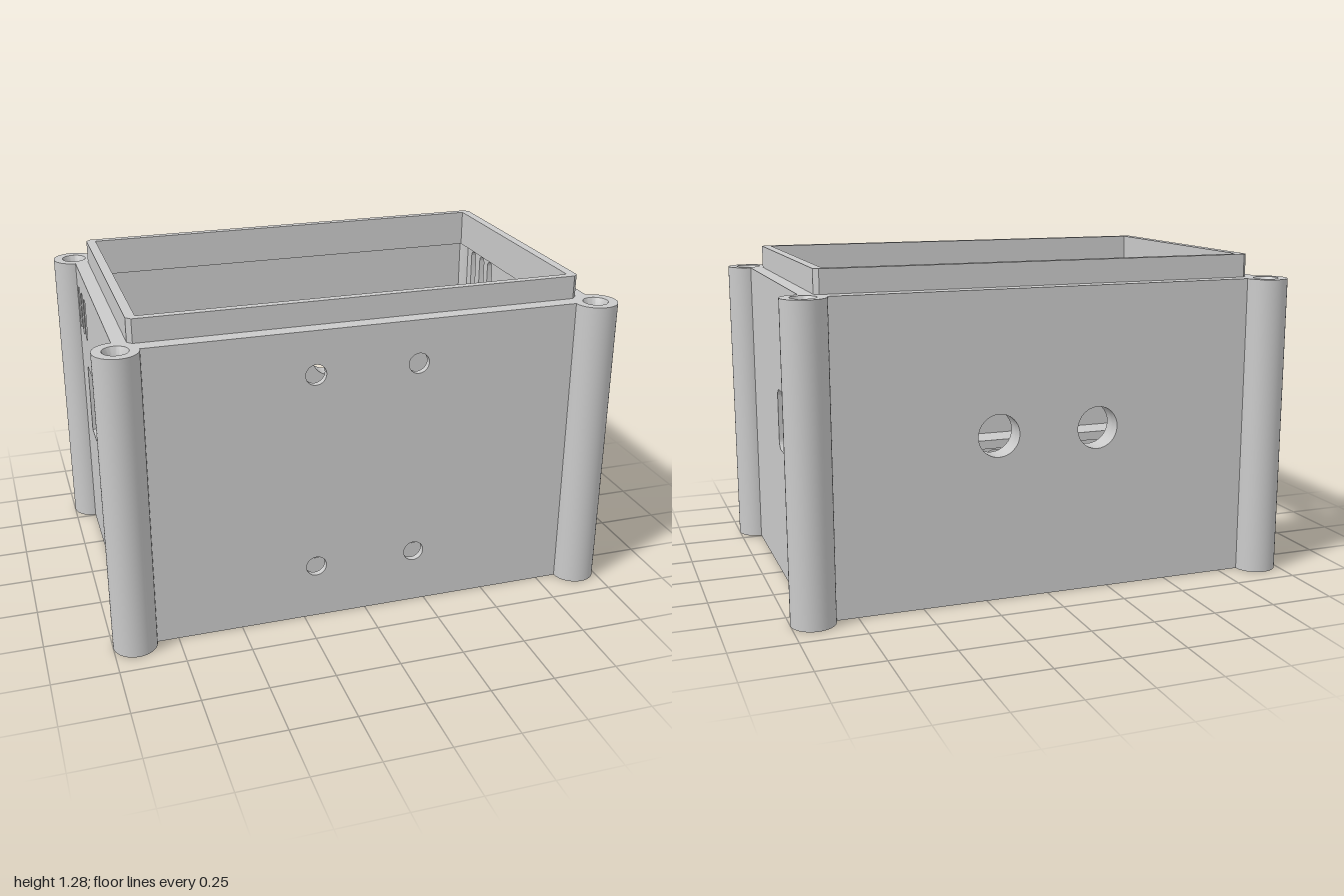
import * as THREE from 'three';
import { toCreasedNormals } from 'three/addons/utils/BufferGeometryUtils.js';

const grey = new THREE.MeshStandardMaterial({ color: 0xcacaca });
grey.name = 'plain grey';

const W = 0.919, D = 0.592, H = 1.186;     // outer half width, half depth, wall height
const IW = 0.873, ID = 0.545;              // cavity half sizes
const LW = 0.83, LD = 0.502;               // half sizes of the opening inside the lip

// Rounded rectangle written into a Shape or Path
function rect(p, x0, x1, y0, y1, r = 0) {
  if (r <= 0) {
    p.moveTo(x0, y0).lineTo(x1, y0).lineTo(x1, y1).lineTo(x0, y1).closePath();
    return p;
  }
  p.absarc(x1 - r, y0 + r, r, -Math.PI / 2, 0);
  p.absarc(x1 - r, y1 - r, r, 0, Math.PI / 2);
  p.absarc(x0 + r, y1 - r, r, Math.PI / 2, Math.PI);
  p.absarc(x0 + r, y0 + r, r, Math.PI, Math.PI * 1.5);
  p.closePath();
  return p;
}
const hole = (...a) => rect(new THREE.Path(), ...a);
const block = (w, d, r) => rect(new THREE.Shape(), -w, w, -d, d, r);
const circle = (x, y, r) => new THREE.Path().absarc(x, y, r, 0, Math.PI * 2);
const polygon = points => new THREE.Shape(points.map(p => new THREE.Vector2(...p)));

function slab(shape, holes, depth) {
  shape.holes.push(...holes);
  const g = new THREE.ExtrudeGeometry(shape, { depth, bevelEnabled: false, curveSegments: 16 });
  return toCreasedNormals(g, 0.6);
}

function add(parent, name, geometry, x = 0, y = 0, z = 0) {
  const m = new THREE.Mesh(geometry, grey);
  m.name = name;
  m.position.set(x, y, z);
  parent.add(m);
  return m;
}

// Upright wall layer; local z = 0 is its inner face, the depth goes outwards
function wall(parent, name, halfWidth, holes, thickness, z) {
  return add(parent, name, slab(rect(new THREE.Shape(), -halfWidth, halfWidth, 0, H), holes, thickness), 0, 0, z);
}

// Rectangle with cut corners
const chamfered = (w, d, c) => polygon([[-w + c, -d], [w - c, -d], [w, -d + c], [w, d - c],
  [w - c, d], [-w + c, d], [-w, d - c], [-w, -d + c]]);

// Lays a shape flat: its y becomes -z, the depth goes up
function flat(parent, name, shape, holes, y, depth) {
  const m = add(parent, name, slab(shape, holes, depth), 0, y, 0);
  m.rotation.x = -Math.PI / 2;
  return m;
}

export function createModel() {
  const model = new THREE.Group();
  model.name = 'enclosure';

  // Front wall in two layers: screw holes with wider recesses inside.
  // The walls end inside the corner posts, clear of the screw holes there.
  const screws = [[-0.2, 0.22], [0.2, 0.22], [-0.2, 1.015], [0.2, 1.015]];
  wall(model, 'frontWallInside', 0.86, screws.map(([x, y]) => circle(x, y, 0.068)), 0.022, ID);
  wall(model, 'frontWallOutside', 0.86, screws.map(([x, y]) => circle(x, y, 0.04)), D - ID - 0.022, ID + 0.022);

  // Back wall with two round openings and raised collars inside
  const eyes = [-0.2, 0.2];
  const back = new THREE.Group();
  back.name = 'back';
  back.rotation.y = Math.PI;
  wall(back, 'backWall', 0.86, eyes.map(x => circle(x, 0.64, 0.082)), D - ID, ID);
  for (const x of eyes) {
    const collar = new THREE.Shape().absarc(0, 0, 0.155, 0, Math.PI * 2);
    add(back, 'collar', slab(collar, [circle(0, 0, 0.082)], ID - LD), x, 0.64, LD);
  }
  model.add(back);

  // Side walls: local x is world -z on the left side and world z on the right side
  const slots = s => [-0.275, -0.36, -0.45].map(z => hole(s * z - 0.0225, s * z + 0.0225, 0.925, 1.1, 0.022));
  const left = wall(model, 'leftWall', 0.53, [...slots(-1), hole(0.035, 0.168, 0.525, 0.767, 0.035)], W - IW, 0);
  left.rotation.y = Math.PI / 2;
  left.position.x = IW;
  const right = wall(model, 'rightWall', 0.53, [...slots(1), hole(-0.33, -0.135, 0.5, 0.79)], W - IW, 0);
  right.rotation.y = -Math.PI / 2;
  right.position.x = -IW;

  // Lip around the top, with its thicker root inside the walls
  flat(model, 'lipRoot', block(IW + 0.002, ID + 0.002), [hole(-LW, LW, -LD, LD)], 1.13, H - 1.13);
  flat(model, 'topLip', chamfered(0.866, 0.533, 0.018), [hole(-LW, LW, -LD, LD)], H, 0.09);

  // Floor with a window that flares out towards the bottom
  flat(model, 'floorBottom', block(IW, ID), [hole(-0.515, 0.515, -0.405, 0.405, 0.1)], 0, 0.05);
  flat(model, 'floorTop', block(IW, ID), [hole(-0.466, 0.466, -0.356, 0.356, 0.075)], 0.05, 0.015);
  const low = hole(-0.515, 0.515, -0.405, 0.405, 0.1).getPoints(12);
  const high = hole(-0.466, 0.466, -0.356, 0.356, 0.075).getPoints(12);
  const pos = [], index = [];
  low.forEach((p, i) => {
    pos.push(p.x, 0, p.y, high[i].x, 0.05, high[i].y);
    const a = 2 * i, b = 2 * ((i + 1) % low.length);
    index.push(a, b, a + 1, b, b + 1, a + 1);
  });
  const bevel = new THREE.BufferGeometry();
  bevel.setAttribute('position', new THREE.Float32BufferAttribute(pos, 3));
  bevel.setIndex(index);
  add(model, 'windowBevel', toCreasedNormals(bevel, 0.6));

  // Low frame around the window, with four snap clips
  flat(model, 'windowFrame', block(0.668, 0.414, 0.02), [hole(-0.645, 0.645, -0.392, 0.392)], 0.06, 0.09);
  const clip = new THREE.ExtrudeGeometry(polygon([[0, 0], [0.012, 0.015], [0, 0.045]]),
    { depth: 0.176, bevelEnabled: false });
  clip.translate(0, 0, -0.088);
  for (const sx of [-1, 1]) for (const sz of [-1, 1]) {
    const m = add(model, 'snapClip', clip, sx * 0.286, 0.105, sz * 0.392);
    m.rotation.y = sz * Math.PI / 2;
  }

  // Shelf and thin rail along the inside of the front wall
  add(model, 'frontShelf', new THREE.BoxGeometry(2 * IW, 0.04, ID - 0.404), 0, 0.35, (ID + 0.404) / 2);
  add(model, 'frontRail', new THREE.BoxGeometry(2 * IW, 0.02, 0.03), 0, 0.885, ID - 0.015);

  // Wedge beside the port in the left wall
  flat(model, 'portWedge', polygon([[IW, 0.03], [0.76, 0.03], [0.76, 0.008], [IW, -0.094]]), [], 0.525, 0.24);

  // Corner posts with stepped screw holes in the top
  const profile = [[0, 0], [0.084, 0], [0.084, H], [0.048, H], [0.036, H - 0.03], [0.036, H - 0.3], [0, H - 0.3]];
  const post = toCreasedNormals(
    new THREE.LatheGeometry(profile.map(p => new THREE.Vector2(...p)), 40), 0.4);
  for (const sx of [-1, 1]) for (const sz of [-1, 1]) {
    add(model, 'cornerPost', post, sx * 0.916, 0, sz * 0.588);
  }

  return model;
}
